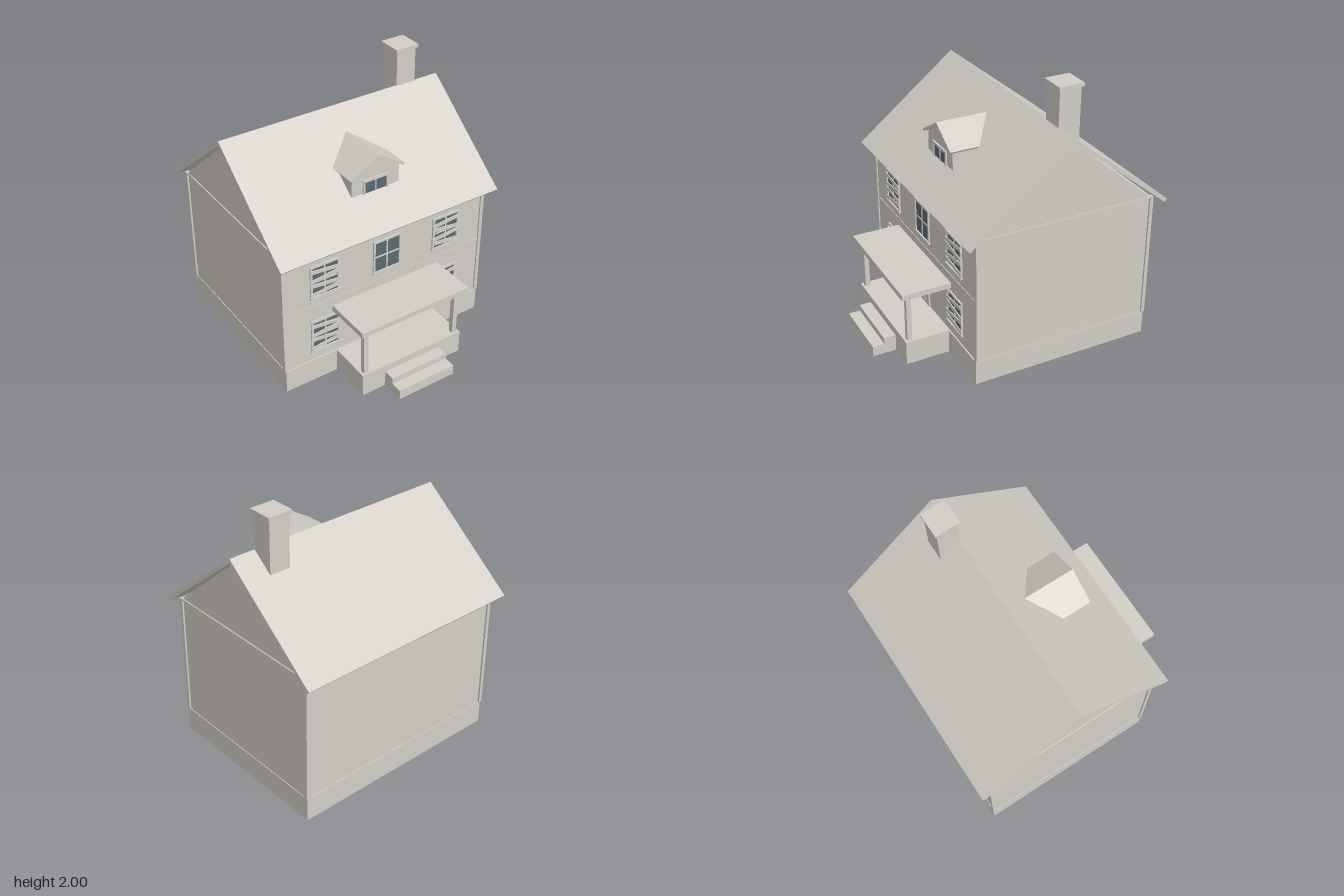
import * as THREE from 'three';

export function createModel() {
  const house = new THREE.Group();
  house.name = 'house';
  const plaster = new THREE.MeshStandardMaterial({ color: 0xd2cec6 });
  plaster.name = 'warm grey';
  const glass = new THREE.MeshStandardMaterial({ color: 0x5c6a73 });
  glass.name = 'window glass';

  // Box given by its min and max on each axis
  function block(name, x0, x1, y0, y1, z0, z1, parent = house, mat = plaster) {
    const mesh = new THREE.Mesh(new THREE.BoxGeometry(x1 - x0, y1 - y0, z1 - z0), mat);
    mesh.position.set((x0 + x1) / 2, (y0 + y1) / 2, (z0 + z1) / 2);
    mesh.name = name;
    parent.add(mesh);
    return mesh;
  }
  // Outline extruded from the origin along +z
  function prism(name, points, depth, parent = house) {
    const shape = new THREE.Shape(points.map(p => new THREE.Vector2(...p)));
    const geo = new THREE.ExtrudeGeometry(shape, { depth, bevelEnabled: false });
    const mesh = new THREE.Mesh(geo, plaster);
    mesh.name = name;
    parent.add(mesh);
    return mesh;
  }

  // Foundation, walls and corner boards
  block('foundation', -0.845, 0.845, 0, 0.18, -0.88, 0.473);
  block('walls', -0.84, 0.84, 0.18, 1.12, -0.874, 0.463);
  for (const s of [-1, 1]) {
    for (const [z0, z1] of [[0.446, 0.473], [-0.887, -0.86]]) {
      block('cornerBoard', s * 0.839 - 0.014, s * 0.839 + 0.014, 0.18, 1.12, z0, z1);
    }
    block('gableTrim', s * 0.84 - 0.008, s * 0.84 + 0.008, 1.105, 1.12, -0.86, 0.446);
  }
  block('beltCourse', -0.825, 0.825, 0.635, 0.656, 0.46, 0.468);

  // Gable and roof, drawn in profile (first value is -z) and turned to run along x
  const ridge = 0.205;
  const gable = prism('gable', [[-0.45, 1.12], [0.86, 1.12], [ridge, 1.68]], 1.68);
  gable.rotation.y = Math.PI / 2;
  gable.position.x = -0.84;
  const roof = prism('roof', [
    [ridge, 1.715], [ridge - 0.761, 1.105], [ridge - 0.742, 1.085], [ridge, 1.682],
    [ridge + 0.742, 1.085], [ridge + 0.761, 1.105],
  ], 1.8);
  roof.rotation.y = Math.PI / 2;
  roof.position.x = -0.9;

  // Chimney
  block('chimney', 0.54, 0.7, 1.4, 1.975, -0.36, -0.2);
  block('chimneyCap', 0.525, 0.715, 1.975, 2, -0.375, -0.187);

  // Dormer
  const dormer = new THREE.Group();
  dormer.name = 'dormer';
  house.add(dormer);
  prism('dormerBody', [[-0.195, 1.22], [0.195, 1.22], [0.195, 1.44], [0, 1.57], [-0.195, 1.44]],
    0.335, dormer).position.z = -0.02;
  prism('dormerRoof', [
    [0, 1.585], [-0.222, 1.45], [-0.212, 1.436], [0, 1.565], [0.212, 1.436], [0.222, 1.45],
  ], 0.389, dormer).position.z = -0.045;
  block('dormerGlass', -0.088, 0.088, 1.24, 1.387, 0.314, 0.318, dormer, glass);
  block('dormerHead', -0.108, 0.108, 1.387, 1.405, 0.312, 0.328, dormer);
  block('dormerMuntin', -0.005, 0.005, 1.24, 1.387, 0.314, 0.322, dormer);
  for (const s of [-1, 1]) {
    block('dormerJamb', s * 0.096 - 0.008, s * 0.096 + 0.008, 1.24, 1.387, 0.312, 0.326, dormer);
  }

  // Windows, with crooked boards nailed across the outer ones
  function addWindow(x, y, boarded) {
    const win = new THREE.Group();
    win.name = 'window';
    win.position.set(x, y, 0.463);
    house.add(win);
    block('pane', -0.102, 0.102, -0.12, 0.12, -0.002, 0.003, win, glass);
    block('head', -0.118, 0.118, 0.12, 0.135, -0.002, 0.012, win);
    block('sill', -0.122, 0.122, -0.135, -0.12, -0.002, 0.016, win);
    for (const s of [-1, 1]) {
      block('jamb', s * 0.109 - 0.008, s * 0.109 + 0.008, -0.12, 0.12, -0.002, 0.011, win);
    }
    block('muntin', -0.006, 0.006, -0.12, 0.12, -0.002, 0.007, win);
    block('muntin', -0.102, 0.102, -0.006, 0.006, -0.002, 0.007, win);
    if (!boarded) return;
    const side = Math.sign(x);
    [[0.082, -0.1], [0.026, 0.12], [-0.032, -0.1], [-0.087, 0.1]].forEach(([h, tilt]) => {
      const board = block('board', -0.122, 0.122, h - 0.014, h + 0.014, 0.01, 0.017, win);
      board.rotation.z = -side * tilt;
    });
  }
  for (const s of [-1, 1]) {
    addWindow(s * 0.513, 0.387, true);
    addWindow(s * 0.513, 0.852, true);
  }
  addWindow(0, 0.852, false);

  // Front door with raised stiles and rails
  const door = new THREE.Group();
  door.name = 'frontDoor';
  house.add(door);
  block('doorLeaf', -0.072, 0.072, 0.18, 0.505, 0.46, 0.466, door);
  prism('doorHead', [[-0.105, 0.503], [0.105, 0.503], [0.114, 0.523], [-0.114, 0.523]],
    0.018, door).position.z = 0.461;
  for (const s of [-1, 1]) {
    block('doorJamb', s * 0.083 - 0.012, s * 0.083 + 0.012, 0.18, 0.503, 0.46, 0.475, door);
    block('doorStile', s * 0.061 - 0.01, s * 0.061 + 0.01, 0.18, 0.503, 0.465, 0.47, door);
  }
  for (const [y0, y1] of [[0.18, 0.21], [0.31, 0.34], [0.465, 0.503]]) {
    block('doorRail', -0.052, 0.052, y0, y1, 0.465, 0.47, door);
  }
  const knob = new THREE.Mesh(new THREE.SphereGeometry(0.008, 10, 8), plaster);
  knob.name = 'doorKnob';
  knob.position.set(0.062, 0.33, 0.476);
  door.add(knob);

  // Wall lantern beside the door
  const lantern = new THREE.Group();
  lantern.name = 'lantern';
  lantern.position.set(0.14, 0, 0.487);
  house.add(lantern);
  for (const [top, bottom, h, y] of [[0.012, 0.02, 0.01, 0.476], [0.015, 0.01, 0.03, 0.456]]) {
    const part = new THREE.Mesh(new THREE.CylinderGeometry(top, bottom, h, 8), plaster);
    part.name = 'lanternPart';
    part.position.y = y;
    lantern.add(part);
  }
  block('lanternBracket', -0.006, 0.006, 0.458, 0.474, -0.026, 0, lantern);

  // Porch and steps
  block('porchFloor', -0.425, 0.425, 0, 0.18, 0.46, 0.8);
  block('porchRoof', -0.452, 0.452, 0.547, 0.588, 0.46, 0.828);
  for (const s of [-1, 1]) {
    block('porchPost', s * 0.387 - 0.018, s * 0.387 + 0.018, 0.18, 0.547, 0.745, 0.781);
  }
  block('upperStep', -0.235, 0.235, 0, 0.125, 0.8, 0.888);
  block('lowerStep', -0.235, 0.235, 0, 0.078, 0.888, 0.975);

  return house;
}
